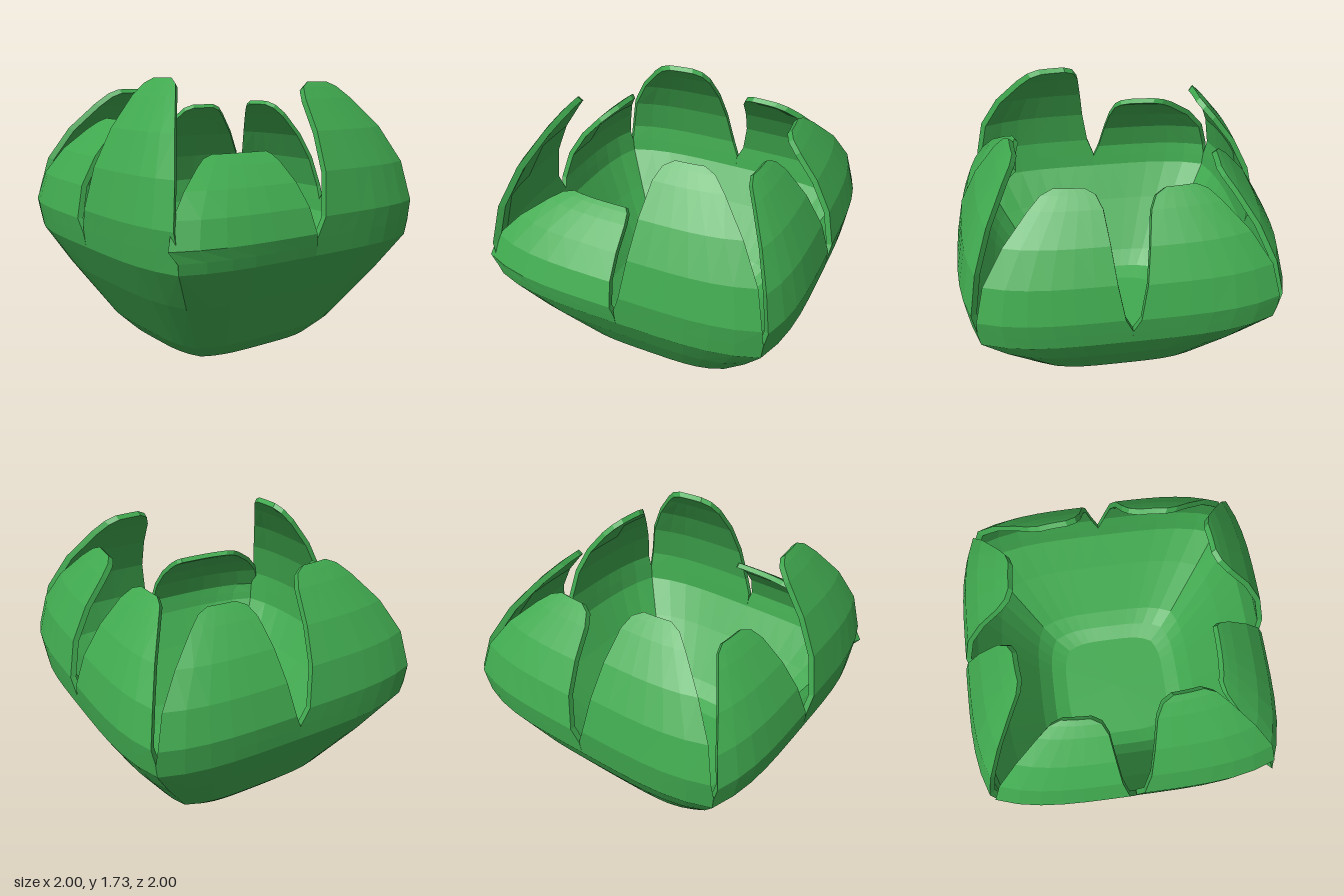
import * as THREE from 'three';

const THICK = 0.035, COLS = 6, HINGE = 0.72, FULL = 1.7;

// Cross-section rows of one half side: height, half width, inner edge x, outer edge x, corner squareness
const ROWS = [
  [0, 0, 0, 0, 0.86],
  [0, 0.38, 0, 0.327, 0.86],
  [0.04, 0.5, 0, 0.435, 0.87],
  [0.14, 0.6, 0, 0.528, 0.88],
  [0.48, 0.83, 0, 0.739, 0.89],
  [0.72, 0.97, 0, 0.873, 0.9], // petals start here
  [0.83, 0.984, 0, 0.886, 0.9],
  [0.95, 0.998, 0.045, 0.88, 0.9],
  [1.2, 0.945, 0.085, 0.825, 0.9],
  [1.42, 0.84, 0.11, 0.7, 0.9],
  [1.6, 0.71, 0.135, 0.545, 0.9],
  [1.67, 0.65, 0.17, 0.47, 0.9],
  [1.7, 0.62, 0.23, 0.4, 0.9],
];
const SPLIT = 5;

// Outward normal of the cross-section at a row, as (width, height)
function profileNormal(j) {
  if (j === 0) return [0, -1];
  const a = ROWS[j - 1], b = ROWS[Math.min(j + 1, ROWS.length - 1)];
  const dw = b[1] - a[1], dy = b[0] - a[0], l = Math.hypot(dw, dy);
  return [dy / l, -dw / l];
}

// Point on the outer (inset 0) or inner skin of the half side facing +z
function skinPoint(j, i, inset, petal, mirror) {
  const [y, w, xin, xout, c] = ROWS[j];
  const [nw, ny] = profileNormal(j);
  const lift = (petal.height - HINGE) / (FULL - HINGE);
  const open = j > SPLIT + 1;
  const x0 = open ? xin * (petal.slit ?? 1) : xin;
  const x1 = open ? xout + (petal.widen ?? 0) : xout;
  const x = THREE.MathUtils.lerp(x0, x1, i / COLS);
  const t = w ? x / (c * w) : 0;
  const wi = w ? w - inset * nw : 0;
  const yy = y > HINGE ? HINGE + (y - HINGE) * lift : y;
  return new THREE.Vector3(
    mirror * (w ? x * wi / w : 0), yy - inset * ny, wi * (1 - (1 - c) * t ** 4));
}

// Closed shell between two rows: outer skin, inner skin and the rim along the free edges
function shell(from, to, petal, mirror, rim) {
  const pos = [];
  const tri = (a, b, c) => {
    const n = b.clone().sub(a).cross(c.clone().sub(a));
    if (n.length() < 1e-9) return;
    for (const p of mirror > 0 ? [a, b, c] : [a, c, b]) pos.push(p.x, p.y, p.z);
  };
  const quad = (a, b, c, d) => { tri(a, b, c); tri(a, c, d); };
  const outer = (j, i) => skinPoint(j, i, 0, petal, mirror);
  const inner = (j, i) => skinPoint(j, i, THICK, petal, mirror);
  for (let j = from; j < to; j++) {
    for (let i = 0; i < COLS; i++) {
      quad(outer(j, i), outer(j, i + 1), outer(j + 1, i + 1), outer(j + 1, i));
      quad(inner(j, i + 1), inner(j, i), inner(j + 1, i), inner(j + 1, i + 1));
    }
    if (rim) {
      quad(inner(j, 0), outer(j, 0), outer(j + 1, 0), inner(j + 1, 0));
      quad(outer(j, COLS), inner(j, COLS), inner(j + 1, COLS), outer(j + 1, COLS));
    }
  }
  if (rim) for (let i = 0; i < COLS; i++)
    quad(outer(to, i), outer(to, i + 1), inner(to, i + 1), inner(to, i));
  const geo = new THREE.BufferGeometry();
  geo.setAttribute('position', new THREE.Float32BufferAttribute(pos, 3));
  geo.computeVertexNormals(); // unshared corners give flat facets
  return geo;
}

export function createModel() {
  const group = new THREE.Group();
  group.name = 'leafBowl';
  const green = new THREE.MeshStandardMaterial({ color: 0x40a94f });
  green.name = 'leafGreen';

  // Each side has two petals: [local +x half, local -x half]
  const sides = [
    ['front', [{ height: 1.7 }, { height: 1.3, slit: 0.4, widen: 0.06 }]],
    ['left', [{ height: 1.55 }, { height: 1.585 }]],
    ['back', [{ height: 1.64 }, { height: 1.52 }]],
    ['right', [{ height: 1.725 }, { height: 1.46 }]],
  ];
  sides.forEach(([name, petals], s) => {
    const side = new THREE.Group();
    side.name = name + 'Side';
    side.rotation.y = s * Math.PI / 2;
    petals.forEach((petal, k) => {
      const mirror = k ? -1 : 1;
      const bowl = new THREE.Mesh(shell(0, SPLIT, petal, mirror, false), green);
      bowl.name = name + 'BowlWall' + (k + 1);
      const leaf = new THREE.Mesh(shell(SPLIT, ROWS.length - 1, petal, mirror, true), green);
      leaf.name = name + 'Petal' + (k + 1);
      side.add(bowl, leaf);
    });
    group.add(side);
  });
  return group;
}
